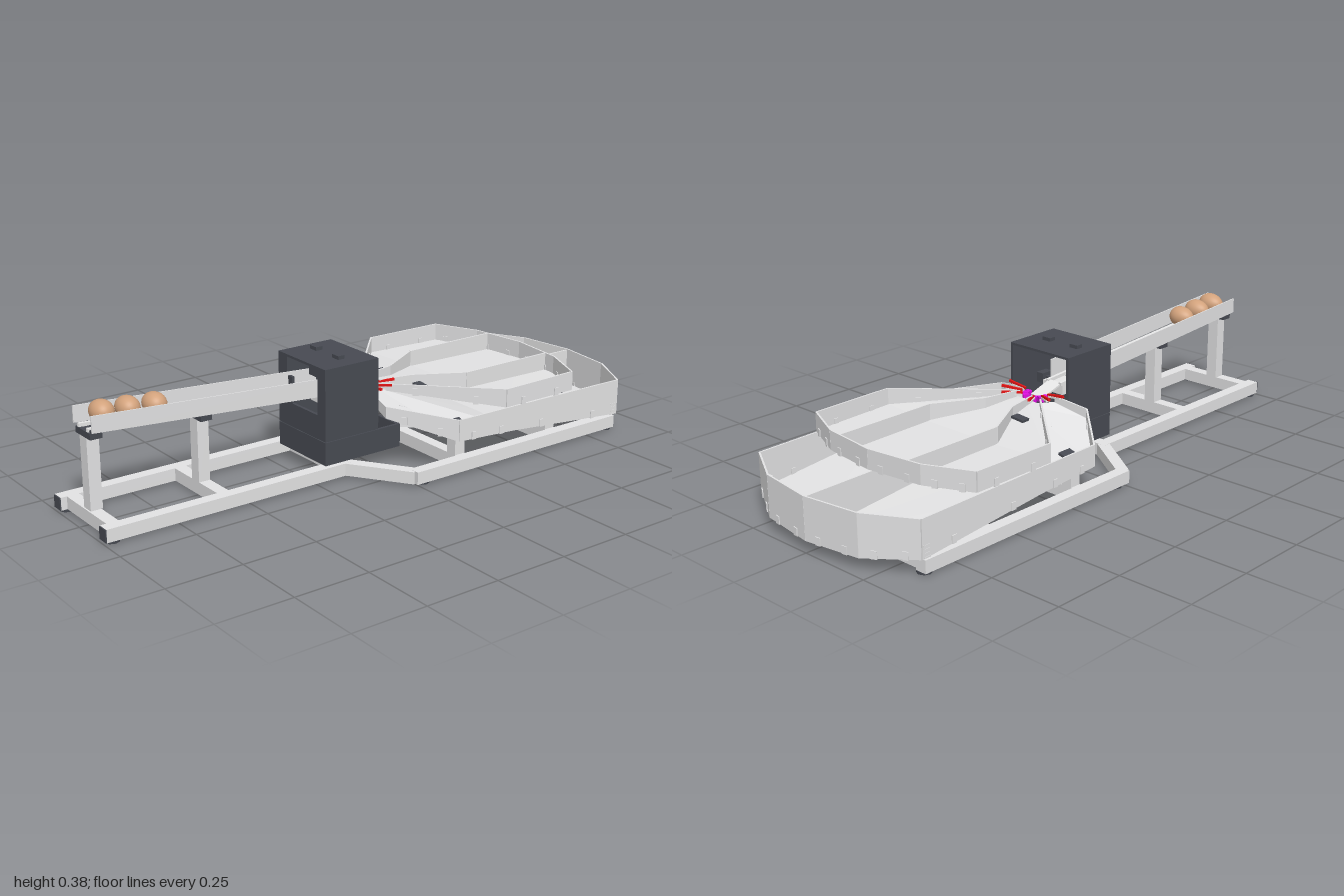
import * as THREE from 'three';

const paint = (name, color, side = THREE.FrontSide) => {
  const m = new THREE.MeshStandardMaterial({ color, side });
  m.name = name;
  return m;
};

export function createModel() {
  const root = new THREE.Group();
  root.name = 'eggSorter';
  const metal = paint('lightMetal', 0xe2e2e3, THREE.DoubleSide);
  const dark = paint('darkPlastic', 0x474a52);
  const shell = paint('eggShell', 0xd2a27c);
  const white = paint('whitePlastic', 0xf2f2f2, THREE.DoubleSide);
  const red = paint('redFinger', 0xe81414);
  const magenta = paint('magentaGuide', 0xe010e0);

  const add = (name, geo, mat, x = 0, y = 0, z = 0) => {
    const m = new THREE.Mesh(geo, mat);
    m.name = name;
    m.position.set(x, y, z);
    root.add(m);
    return m;
  };
  // box given by its minimum and maximum corners
  const box = (name, mat, x0, x1, y0, y1, z0, z1) =>
    add(name, new THREE.BoxGeometry(x1 - x0, y1 - y0, z1 - z0), mat,
      (x0 + x1) / 2, (y0 + y1) / 2, (z0 + z1) / 2);
  // rectangular bar from point a to point b
  const bar = (name, mat, a, b, w, h) => {
    const p = new THREE.Vector3(...a), q = new THREE.Vector3(...b);
    const m = add(name, new THREE.BoxGeometry(w, h, p.distanceTo(q)), mat);
    m.position.copy(p).lerp(q, 0.5);
    m.lookAt(q);
    return m;
  };
  const surface = (name, verts, index, mat) => {
    const g = new THREE.BufferGeometry();
    g.setAttribute('position', new THREE.Float32BufferAttribute(verts.flat(), 3));
    g.setIndex(index);
    const flat = g.toNonIndexed();
    flat.computeVertexNormals();
    return add(name, flat, mat);
  };
  // sheet fanned from a hub to an outline
  const fan = (name, hub, pts) => {
    const idx = [];
    for (let i = 1; i < pts.length; i++) idx.push(0, i, i + 1);
    return surface(name, [hub, ...pts], idx, metal);
  };
  // upright sheet wall along [x, z, bottom, top] points
  const wall = (name, pts, t = 0.006) => {
    for (let i = 0; i < pts.length - 1; i++) {
      const [x0, z0, b0, t0] = pts[i], [x1, z1, b1, t1] = pts[i + 1];
      const len = Math.hypot(x1 - x0, z1 - z0);
      const nx = -(z1 - z0) / len * t / 2, nz = (x1 - x0) / len * t / 2;
      const v = [];
      for (const s of [1, -1]) v.push(
        [x0 + s * nx, b0, z0 + s * nz], [x1 + s * nx, b1, z1 + s * nz],
        [x1 + s * nx, t1, z1 + s * nz], [x0 + s * nx, t0, z0 + s * nz]);
      surface(name, v, [0, 1, 2, 0, 2, 3, 5, 4, 7, 5, 7, 6, 3, 2, 6, 3, 6, 7,
        0, 4, 5, 0, 5, 1, 1, 5, 6, 1, 6, 2, 0, 3, 7, 0, 7, 4], metal);
    }
  };
  const flip = (pts) => pts.map(([x, ...r]) => [-x, ...r]);
  const mirrored = (pts) => [...pts, ...flip(pts).reverse()];

  // ground frame
  for (const s of [-1, 1]) {
    box('frontRail', metal, s * 0.145 - 0.02, s * 0.145 + 0.02, 0.008, 0.05, 0.12, 0.995);
    box('rearRail', metal, s * 0.343 - 0.02, s * 0.343 + 0.02, 0.008, 0.05, -0.87, 0.01);
    bar('diagonalRail', metal, [s * 0.145, 0.029, 0.135], [s * 0.343, 0.029, 0.0], 0.04, 0.041);
    box('railCap', dark, s * 0.145 - 0.019, s * 0.145 + 0.019, 0.009, 0.049, 0.995, 0.999);
    for (const [x, z] of [[0.142, 0.968], [0.336, -0.03], [0.336, -0.85]])
      add('foot', new THREE.CylinderGeometry(0.024, 0.024, 0.008, 8), dark, s * x, 0.004, z);
    for (const z of [-0.2, -0.6])
      box('traySupport', metal, s * 0.3 - 0.02, s * 0.3 + 0.02, 0.05, z < -0.5 ? 0.075 : 0.11, z - 0.02, z + 0.02);
    // hanging panels below the fan
    wall('funnelBracket', [[s * 0.13, -0.1, 0.11, 0.185], [s * 0.2, -0.22, 0.1, 0.145]]);
    box('rearClamp', dark, s * 0.2 - 0.025, s * 0.2 + 0.025, 0.05, 0.063, -0.62, -0.58);
  }
  for (const z of [0.955, 0.58, 0.14])
    box('frontCrossBeam', metal, -0.125, 0.125, 0.008, 0.05, z - 0.02, z + 0.02);
  for (const z of [-0.2, -0.6, -0.84])
    box('rearCrossBeam', metal, -0.323, 0.323, 0.008, 0.05, z - 0.02, z + 0.02);

  // posts and clamps carrying the chute
  for (const [z, top] of [[0.95, 0.28], [0.58, 0.255]]) {
    box('chutePost', metal, -0.021, 0.021, 0.05, top, z - 0.02, z + 0.02);
    box('chuteClamp', dark, -0.045, 0.045, top, top + 0.02, z - 0.02, z + 0.02);
  }

  // inclined egg chute
  for (const s of [-1, 1]) {
    wall('chuteSide', [[s * 0.058, 0.97, 0.305, 0.358], [s * 0.058, 0.1, 0.245, 0.305]], 0.004);
    bar('chuteRod', white, [s * 0.028, 0.307, 0.97], [s * 0.028, 0.25, 0.05], 0.011, 0.011);
    box('chuteHolder', dark, s * 0.036 - 0.008, s * 0.036 + 0.008, 0.298, 0.307, 0.93, 0.965);
  }

  // eggs lying across the rods
  const eggProfile = [];
  for (let i = 0; i <= 20; i++) {
    const a = Math.PI * i / 20;
    eggProfile.push(new THREE.Vector2(
      Math.max(0, 0.036 * Math.sin(a) * (1 + 0.1 * Math.cos(a))), -0.047 * Math.cos(a)));
  }
  for (const [z, y] of [[0.905, 0.343], [0.82, 0.337], [0.73, 0.33]]) {
    const e = add('egg', new THREE.LatheGeometry(eggProfile, 28), shell, -0.005, y, z);
    e.rotation.z = Math.PI / 2;
  }

  // hollow base of the housing, open above and below
  box('baseFront', dark, -0.11, 0.147, 0.05, 0.128, 0.2, 0.21);
  box('baseRear', dark, -0.11, 0.147, 0.05, 0.128, -0.09, -0.08);
  for (const x of [-0.11, 0.137]) {
    box('baseSide', dark, x, x + 0.01, 0.05, 0.128, -0.08, 0.2);
    box('housingSide', dark, x, x + 0.01, 0.13, 0.37, 0.0, 0.2);
  }
  // upper housing with a window in front and an open back
  const outline = (pts) => pts.map((p) => new THREE.Vector2(...p));
  const panel = new THREE.Shape(outline([[-0.11, 0.13], [0.147, 0.13], [0.147, 0.37], [-0.11, 0.37]]));
  panel.holes.push(new THREE.Path(outline([[-0.035, 0.21], [-0.035, 0.3], [-0.062, 0.3], [-0.062, 0.362],
    [0.06, 0.362], [0.06, 0.335], [0.105, 0.335], [0.105, 0.21]])));
  add('housingFront', new THREE.ExtrudeGeometry(panel, { depth: 0.01, bevelEnabled: false }), dark, 0, 0, 0.2);
  box('housingTop', dark, -0.11, 0.147, 0.362, 0.37, 0.0, 0.205);
  for (const x of [-0.05, 0.07]) box('topKnob', dark, x - 0.017, x + 0.017, 0.37, 0.382, 0.09, 0.115);

  // mechanism inside the housing
  box('pusherBlock', white, -0.03, 0.056, 0.21, 0.245, 0.06, 0.14);
  box('motor', dark, 0.076, 0.104, 0.222, 0.256, 0.08, 0.125);
  box('motorShaft', dark, 0.056, 0.076, 0.234, 0.244, 0.095, 0.11);
  bar('outletSlide', white, [0, 0.25, 0.06], [0, 0.222, -0.03], 0.055, 0.006);

  // guide ring and fingers at the outlet
  for (const a of [-88, -62, -30, 30, 62, 88]) {
    const r = THREE.MathUtils.degToRad(a), sx = Math.sin(r), cz = -Math.cos(r);
    const at = (d, y) => [sx * d, y, -0.03 + cz * d];
    bar('redFinger', red, at(0.05, 0.24), at(0.12, 0.25), 0.007, 0.008);
    bar('fingerTip', white, at(0.055, 0.236), at(0.105, 0.241), 0.011, 0.006);
    bar('guideBlock', magenta, at(0.028, 0.226), at(0.048, 0.226), 0.016, 0.018);
  }

  // lower tray: fanned front sheet with an outlet notch, sloping rear sheet, walls
  const lowFront = [[0.07, 0.218, -0.02], [0.19, 0.188, 0], [0.36, 0.125, -0.16], [0.36, 0.108, -0.4], [0.15, 0.105, -0.42]];
  fan('lowerFunnelFloor', [0, 0.212, -0.1], mirrored(lowFront));
  const lowRear = [[0, 0.105, -0.42], [0.15, 0.105, -0.42], [0.36, 0.108, -0.4], [0.36, 0.06, -0.88], [0.2, 0.05, -0.97]];
  const lowWall = [[0.07, -0.02, 0.21, 0.238], [0.19, 0, 0.178, 0.218], [0.36, -0.16, 0.115, 0.187],
    [0.36, -0.4, 0.1, 0.185], [0.36, -0.88, 0.055, 0.178], [0.2, -0.97, 0.04, 0.178], [0, -0.997, 0.038, 0.178]];
  wall('lowerDivider', [[0, -0.42, 0.1, 0.18], [0, -0.995, 0.05, 0.175]]);

  // upper tray: fanned front sheet, level rear sheet, walls and lane dividers
  const upFront = [[0.07, 0.228, -0.09], [0.36, 0.195, -0.36], [0.15, 0.195, -0.38]];
  fan('upperFunnelFloor', [0, 0.232, -0.09], mirrored(upFront));
  const upRear = [[0.15, 0.195, -0.38], [0.36, 0.195, -0.36], [0.355, 0.19, -0.66], [0.2, 0.19, -0.73]];
  fan('upperTrayFloor', [0, 0.19, -0.755], mirrored(upRear));
  fan('upperTrayFloor', [0, 0.19, -0.755], [[-0.15, 0.195, -0.38], [0.15, 0.195, -0.38]]);
  const upWall = [[0.07, -0.09, 0.222, 0.245], [0.36, -0.36, 0.188, 0.25], [0.355, -0.66, 0.185, 0.25],
    [0.2, -0.73, 0.185, 0.25], [0, -0.755, 0.185, 0.25]];
  const lane = [[0.035, -0.09, 0.228, 0.25], [0.06, -0.21, 0.212, 0.25], [0.15, -0.37, 0.192, 0.25], [0.15, -0.737, 0.188, 0.25]];
  for (const side of [(p) => p, flip]) {
    fan('lowerTrayFloor', [0, 0.05, -0.998], side(lowRear));
    wall('lowerTrayWall', side(lowWall));
    wall('upperTrayWall', side(upWall));
    wall('laneDivider', side(lane));
  }

  for (const s of [-1, 1]) {
    // joint clips along the foot of each wall
    for (const [path, off] of [[lowWall.slice(1), 0.012], [upWall, 0.01]])
      for (let i = 0; i < path.length - 1; i++)
        for (const k of [0.25, 0.75]) {
          const [x, z, b] = path[i].map((v, j) => v + (path[i + 1][j] - v) * k);
          const c = add('jointClip', new THREE.BoxGeometry(0.012, 0.026, 0.018), metal, s * x, b + off, z);
          c.rotation.y = s * Math.atan2(path[i + 1][0] - path[i][0], path[i + 1][1] - path[i][1]);
        }
    // dark slot plates on the floors
    const plate = (x, y, z, w, d, tilt = 0) => {
      const p = add('slotPlate', new THREE.BoxGeometry(w, 0.008, d), dark, s * x, y, z);
      p.rotation.z = -s * tilt;
    };
    plate(0.3, 0.148, -0.205, 0.05, 0.05, 0.28);
    plate(0.1, 0.222, -0.215, 0.05, 0.03, 0.08);
    plate(0.285, 0.065, -0.86, 0.05, 0.03);
    plate(0.085, 0.067, -0.868, 0.05, 0.008);
    // stacked tabs at the rear corners
    for (let i = 0; i < 4; i++)
      box('cornerTab', metal, s * 0.352 - 0.012, s * 0.352 + 0.012, 0.056 + i * 0.012, 0.061 + i * 0.012, -0.875, -0.85);
  }
  return root;
}
